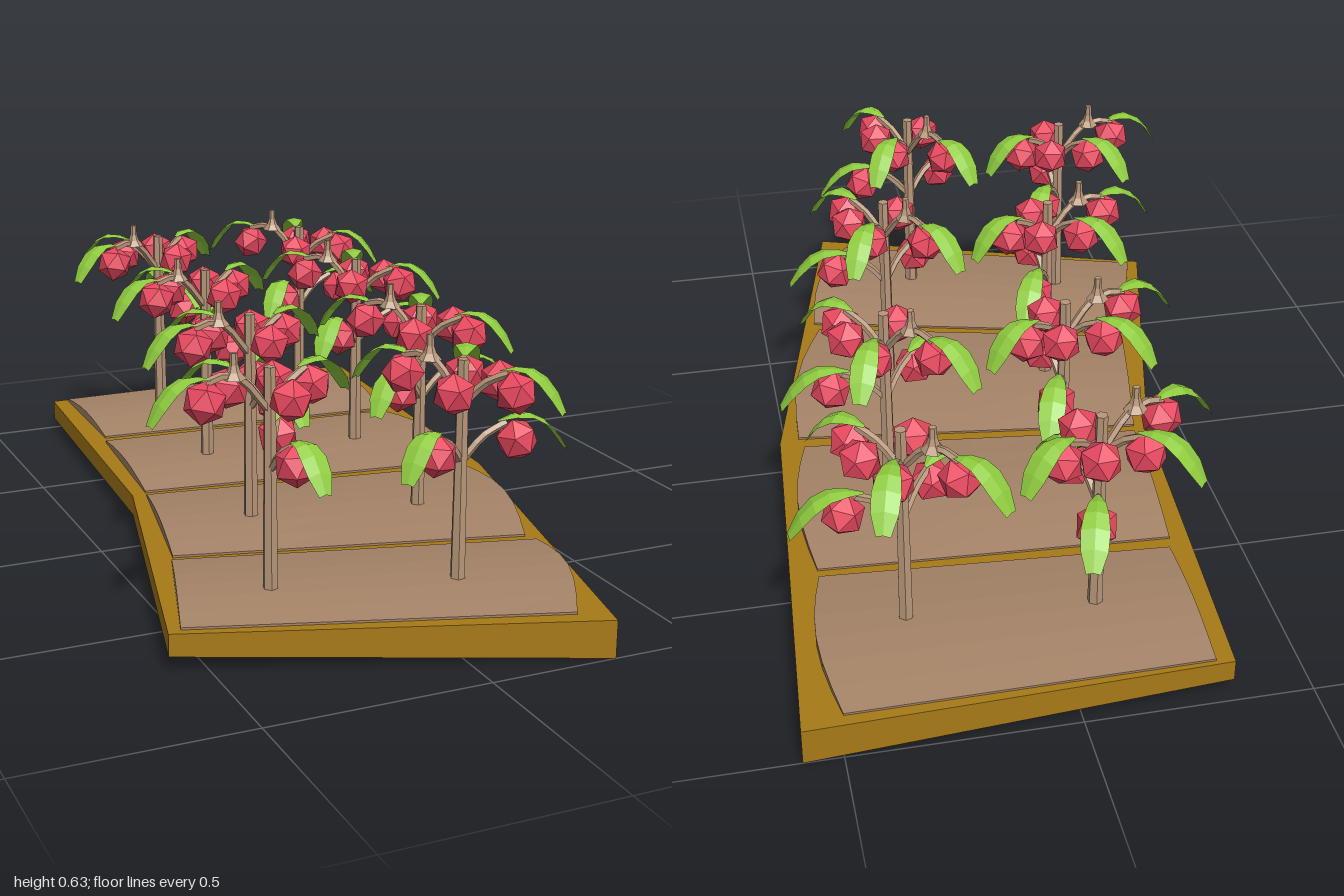
import * as THREE from 'three';

const mat = (color, extra = {}) => new THREE.MeshStandardMaterial({ color, flatShading: true, ...extra });
const mats = {
  frame: mat(0xa87a18),
  soil: mat(0xa58468),
  bark: mat(0xb8977a),
  fruit: mat(0xe8485f),
  leaf: mat(0x90cc40, { side: THREE.DoubleSide }),
};

function add(parent, geometry, material, name) {
  const mesh = new THREE.Mesh(geometry, material);
  mesh.name = name;
  parent.add(mesh);
  return mesh;
}

// Move every vertex of a geometry by a rule
function reshape(geometry, rule) {
  const p = geometry.attributes.position;
  const v = new THREE.Vector3();
  for (let i = 0; i < p.count; i++) {
    rule(v.fromBufferAttribute(p, i));
    p.setXYZ(i, v.x, v.y, v.z);
  }
  geometry.computeVertexNormals();
  return geometry;
}

// Bent planter slab, thinner along its -x side
function planterBase() {
  const outline = [[-0.33, -0.975], [0.585, -1], [0.52, 0], [0.29, 1], [-0.58, 0.7], [-0.38, -0.12]];
  const shape = new THREE.Shape(outline.map(([x, z]) => new THREE.Vector2(x, -z)));
  const geometry = new THREE.ExtrudeGeometry(shape, { depth: 0.085, bevelEnabled: false });
  geometry.rotateX(-Math.PI / 2);
  return reshape(geometry, (v) => {
    if (v.y < 0.01 && v.x < 0) v.y = 0.035;
  });
}

// Low soil mound stretched over four corners: back left, back right, front right, front left
function soilBed([bl, br, fr, fl]) {
  const mix = THREE.MathUtils.lerp;
  return reshape(new THREE.BoxGeometry(1, 1, 1, 4, 1, 6), (v) => {
    const s = v.x + 0.5, t = v.z + 0.5;
    const arch = Math.sin(Math.PI * t);
    const top = v.y > 0;
    v.x = mix(mix(bl[0], br[0], s), mix(fl[0], fr[0], s), t) + 0.03 * arch * s * s;
    v.z = mix(mix(bl[1], br[1], s), mix(fl[1], fr[1], s), t);
    v.y = top ? 0.09 + 0.017 * arch : 0.08;
  });
}

// Arching leaf in the xy plane, pointing along +x
function leafGeometry(start, y, reach) {
  const path = new THREE.CatmullRomCurve3([[0, 0], [0.38, 0.014], [0.72, -0.012], [1, -0.075]]
    .map(([r, h]) => new THREE.Vector3(start + r * (reach - start), y + h, 0)));
  const widths = [0.008, 0.035, 0.05, 0.06, 0.056, 0.03];
  return reshape(new THREE.PlaneGeometry(1, 2, 5, 2), (v) => {
    const k = Math.round((v.x + 0.5) * 5);
    const side = v.y;
    v.copy(path.getPoint(k / 5));
    v.z = -side * widths[k] / 2;
    v.y -= Math.abs(side) * widths[k] * 0.12;
  });
}

function branchGeometry(points, radius) {
  const curve = new THREE.CatmullRomCurve3(points.map(([x, y]) => new THREE.Vector3(x, y, 0)));
  return new THREE.TubeGeometry(curve, 5, radius, 5);
}

// Each limb: angle in degrees, height of its tip, leaf reach, radius of its fruit
const limbs = [
  { angle: 68, y: 0.45, reach: 0.21, fruitAt: 0.1 },
  { angle: 287, y: 0.45, reach: 0.24, fruitAt: 0.125 },
  { angle: 160, y: 0.58, reach: 0.275, fruitAt: 0.15, long: true },
  { angle: 220, y: 0.575, reach: 0.23, fruitAt: 0.1 },
  { angle: -33, y: 0.575, reach: 0.22, fruitAt: 0.115 },
];
// Extra fruit close to the trunk: angle, radius, height
const innerFruit = [[-75, 0.085, 0.535], [55, 0.06, 0.53]];

function createTree() {
  const tree = new THREE.Group();
  tree.name = 'fruitTree';
  const trunk = add(tree, new THREE.CylinderGeometry(0.013, 0.017, 0.5, 6), mats.bark, 'trunk');
  trunk.position.y = 0.34;

  const hang = (parent, x, y) => {
    const fruit = add(parent, new THREE.IcosahedronGeometry(0.047, 0), mats.fruit, 'fruit');
    fruit.position.set(x, y, 0);
    fruit.rotation.set(0.3, x * 20, 0.2);
  };
  const spoke = (angle, name) => {
    const group = new THREE.Group();
    group.name = name;
    group.rotation.y = -THREE.MathUtils.degToRad(angle);
    tree.add(group);
    return group;
  };

  for (const { angle, y, reach, fruitAt, long } of limbs) {
    const limb = spoke(angle, 'limb');
    const tip = long ? 0.15 : 0.1;
    const bend = long ? [0.083, y + 0.004] : [0.05, y - 0.03];
    add(limb, branchGeometry([[0, y - 0.085], bend, [tip, y - 0.005]], 0.009), mats.bark, 'branch');
    add(limb, leafGeometry(tip - 0.02, y, reach), mats.leaf, 'leaf');
    hang(limb, fruitAt, y - 0.045);
    if (long) {
      // Pointed shoot at the elbow of the long branch
      const profile = [[0.026, 0], [0.014, 0.015], [0.009, 0.03], [0.008, 0.055], [0, 0.055]];
      const shoot = add(limb, new THREE.LatheGeometry(profile.map(([r, h]) => new THREE.Vector2(r, h)), 6), mats.bark, 'shoot');
      shoot.position.set(0.083, 0.575, 0);
    }
  }
  for (const [angle, r, y] of innerFruit) hang(spoke(angle, 'innerFruit'), r, y);
  return tree;
}

// Per bed: corners, heading in degrees, and the two tree positions
const beds = [
  { corners: [[-0.29, -0.965], [0.495, -0.97], [0.49, -0.53], [-0.3, -0.585]], turn: 0, trees: [[-0.083, -0.749], [0.325, -0.717]] },
  { corners: [[-0.31, -0.55], [0.49, -0.505], [0.463, -0.03], [-0.345, -0.125]], turn: 4, trees: [[-0.115, -0.3], [0.29, -0.267]] },
  { corners: [[-0.35, -0.1], [0.473, 0.01], [0.36, 0.505], [-0.43, 0.31]], turn: 9, trees: [[-0.185, 0.171], [0.21, 0.254]] },
  { corners: [[-0.44, 0.33], [0.37, 0.54], [0.23, 0.94], [-0.55, 0.69]], turn: 13, trees: [[-0.315, 0.6], [0.075, 0.706]] },
];

export function createModel() {
  const model = new THREE.Group();
  model.name = 'orchardPlot';
  add(model, planterBase(), mats.frame, 'planterBase');
  for (const { corners, turn, trees } of beds) {
    add(model, soilBed(corners), mats.soil, 'soilBed');
    trees.forEach(([x, z], i) => {
      const tree = createTree();
      tree.position.set(x, 0, z);
      tree.rotation.y = -THREE.MathUtils.degToRad(turn + i * 68);
      model.add(tree);
    });
  }
  return model;
}
